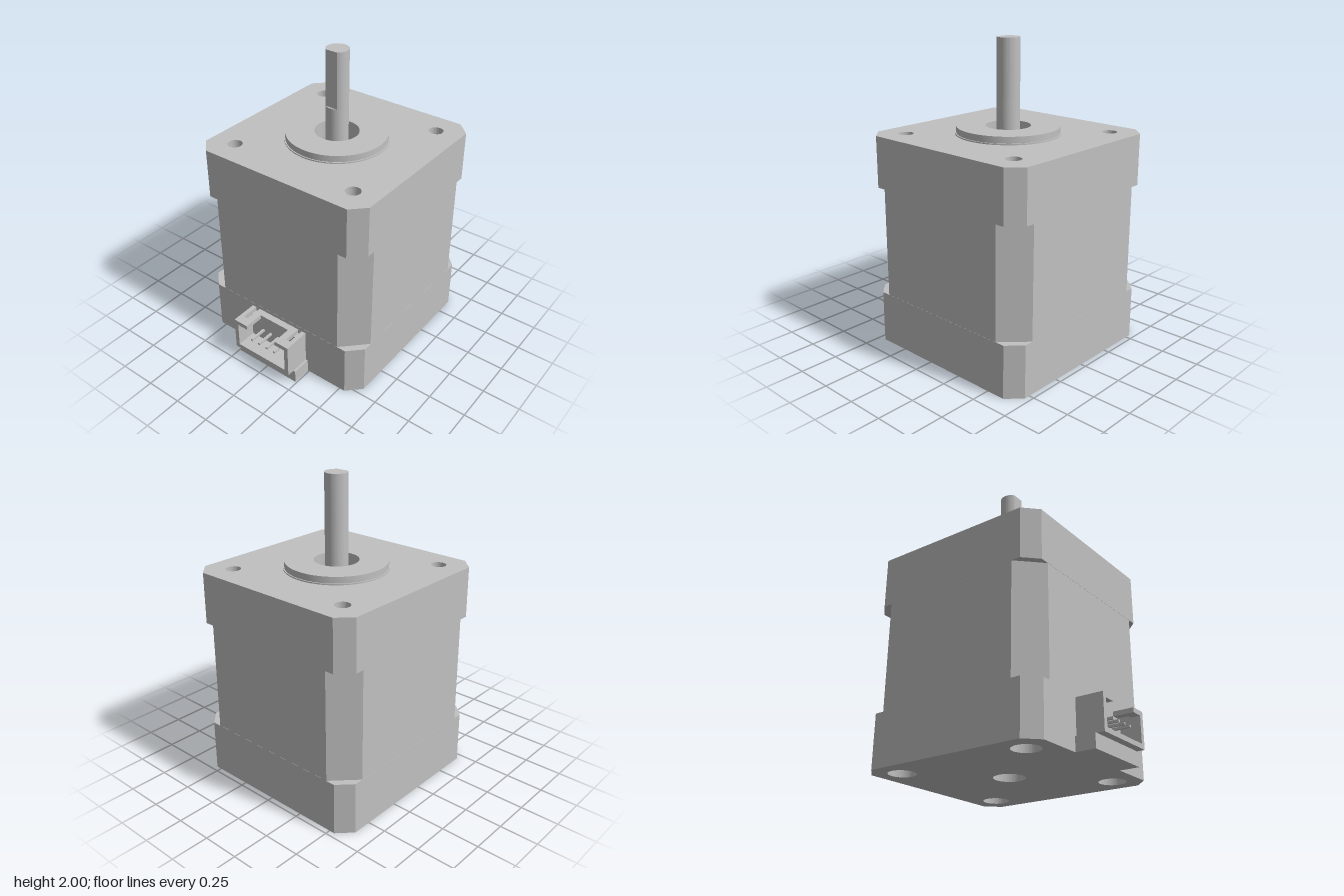
import * as THREE from 'three';
import { toCreasedNormals } from 'three/addons/utils/BufferGeometryUtils.js';

const CX = 0.0875; // motor axis
const HALF = 0.628; // half width of the square body
const HOLE = 0.455; // bolt hole offset from the axis

export function createModel() {
  const group = new THREE.Group();
  const grey = new THREE.MeshStandardMaterial({ color: 0xc0c0c0 });
  grey.name = 'steel grey';

  const add = (name, geometry, x = 0, y = 0, z = 0, parent = group) => {
    const mesh = new THREE.Mesh(geometry, grey);
    mesh.name = name;
    mesh.position.set(x, y, z);
    parent.add(mesh);
    return mesh;
  };

  // Extrude a plan shape upwards from y0 to y1
  const slab = (name, shape, y0, y1, x = CX, parent = group) => {
    const g = new THREE.ExtrudeGeometry(shape, { depth: y1 - y0, bevelEnabled: false, curveSegments: 40 });
    g.rotateX(-Math.PI / 2);
    return add(name, toCreasedNormals(g, 0.6), x, y0, 0, parent);
  };

  const box = (name, x0, x1, y0, y1, z0, z1, parent) =>
    add(name, new THREE.BoxGeometry(x1 - x0, y1 - y0, z1 - z0),
      (x0 + x1) / 2, (y0 + y1) / 2, (z0 + z1) / 2, parent);

  const circle = (x, y, r) => new THREE.Path().absarc(x, y, r, 0, Math.PI * 2, true);

  // Square with cut corners, four bolt holes and an optional centre bore
  const plan = (h, cut, boltR, boreR) => {
    const k = h - cut;
    const s = new THREE.Shape([[h, -k], [h, k], [k, h], [-k, h], [-h, k], [-h, -k], [-k, -h], [k, -h]]
      .map(([x, y]) => new THREE.Vector2(x, y)));
    for (const sx of [-1, 1]) for (const sy of [-1, 1]) s.holes.push(circle(sx * HOLE, sy * HOLE, boltR));
    if (boreR) s.holes.push(circle(0, 0, boreR));
    return s;
  };

  // Body
  slab('rearCap', plan(HALF, 0.09, 0.087, 0.1), 0, 0.345);
  slab('statorStack', plan(HALF - 0.001, 0.15, 0.048), 0.345, 1.065);
  slab('frontCapLower', plan(HALF, 0.09, 0.048), 1.065, 1.28);
  slab('frontCapUpper', plan(HALF, 0.09, 0.048, 0.143), 1.28, 1.4);

  // Raised pilot ring around the shaft
  const ring = (r) => {
    const s = new THREE.Shape().absarc(0, 0, r, 0, Math.PI * 2, false);
    s.holes.push(circle(0, 0, 0.143));
    return s;
  };
  slab('pilotFoot', ring(0.336), 1.4, 1.408);
  slab('pilotRing', ring(0.328), 1.408, 1.45);

  // Shaft: round below, flat on the -x side above
  const R = 0.073;
  slab('shaftBase', new THREE.Shape().absarc(0, 0, R, 0, Math.PI * 2, false), 1.28, 1.63);
  const a = Math.acos(-0.06 / R);
  slab('shaftFlatted', new THREE.Shape().absarc(0, 0, R, -a, a, false), 1.63, 2);

  // Connector socket, open towards -x
  const c = new THREE.Group();
  c.name = 'connector';
  group.add(c);
  const X0 = -0.72, XB = -0.585, X1 = -0.538;
  box('connectorFoot', -0.67, X1, 0, 0.09, -0.24, 0.24, c);
  box('socketFloor', X0, X1, 0.09, 0.12, -0.225, 0.225, c);
  box('socketBack', XB, X1, 0.12, 0.29, -0.195, 0.195, c);

  // Roof with a wide notch over the pins and two narrow slots
  const roof = new THREE.Shape([[X0, -0.225], [X1, -0.225], [X1, 0.225], [X0, 0.225],
    [X0, 0.117], [XB, 0.117], [XB, -0.117], [X0, -0.117]].map(([x, y]) => new THREE.Vector2(x, y)));
  for (const s of [-1, 1]) {
    const z0 = s * 0.18 - 0.015, z1 = s * 0.18 + 0.015;
    roof.holes.push(new THREE.Path([[-0.66, z0], [-0.66, z1], [-0.542, z1], [-0.542, z0]]
      .map(([x, y]) => new THREE.Vector2(x, y))));
    box('socketSide', X0, X1, 0.12, 0.29, s > 0 ? 0.195 : -0.225, s > 0 ? 0.225 : -0.195, c);
  }
  slab('socketRoof', roof, 0.29, 0.32, 0, c);

  for (const z of [-0.095, -0.032, 0.032, 0.095]) {
    box('pin', -0.705, XB, 0.195, 0.21, z - 0.0075, z + 0.0075, c);
  }
  return group;
}
